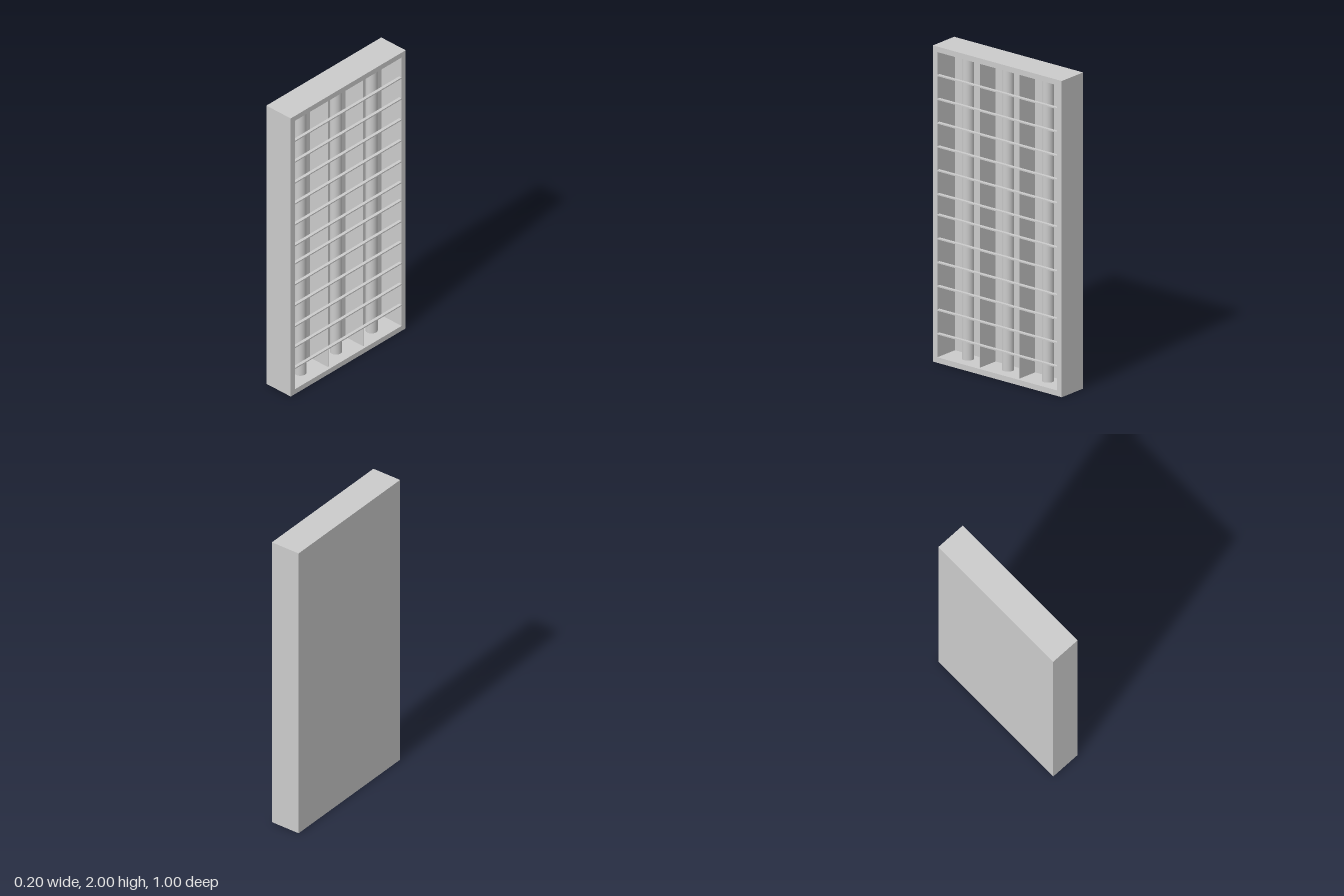
import * as THREE from 'three';

const W = 0.2, H = 2, D = 1;      // overall thickness, height, width
const WALL = 0.035;
const IN_D = D - 2 * WALL, IN_H = H - 2 * WALL;

export function createModel() {
  const group = new THREE.Group();
  const material = new THREE.MeshStandardMaterial({ color: 0xcccccc });

  const add = (name, geometry, x, y, z) => {
    const mesh = new THREE.Mesh(geometry, material);
    mesh.name = name;
    mesh.position.set(x, y, z);
    group.add(mesh);
    return mesh;
  };

  // Rectangular rim, extruded along x, open on the +x side
  const rim = new THREE.Shape([
    new THREE.Vector2(-D / 2, 0), new THREE.Vector2(D / 2, 0),
    new THREE.Vector2(D / 2, H), new THREE.Vector2(-D / 2, H),
  ]);
  rim.holes.push(new THREE.Path([
    new THREE.Vector2(-IN_D / 2, WALL), new THREE.Vector2(-IN_D / 2, H - WALL),
    new THREE.Vector2(IN_D / 2, H - WALL), new THREE.Vector2(IN_D / 2, WALL),
  ]));
  const rimGeometry = new THREE.ExtrudeGeometry(rim, { depth: W, bevelEnabled: false });
  rimGeometry.rotateY(Math.PI / 2);
  add('housingRim', rimGeometry, -W / 2, 0, 0);

  // Back panel closing the housing
  add('backPanel', new THREE.BoxGeometry(WALL, IN_H, IN_D), -W / 2 + WALL / 2, H / 2, 0);

  // Three upright lamp tubes
  for (const z of [-0.31, 0, 0.31]) {
    add('lampTube', new THREE.CylinderGeometry(0.037, 0.037, IN_H, 32), 0, H / 2, z);
  }

  // Thin upright dividers between the tubes
  const backX = -W / 2 + WALL, frontX = 0.08;
  for (const z of [-0.153, 0.153]) {
    add('divider', new THREE.BoxGeometry(frontX - backX, IN_H, 0.006), (frontX + backX) / 2, H / 2, z);
  }

  // Horizontal louvre slats across the opening, mirrored about mid height
  for (let i = 0; i < 6; i++) {
    for (const side of [-1, 1]) {
      add('slat', new THREE.BoxGeometry(0.02, 0.008, IN_D), 0.09, H / 2 + side * (0.065 + i * 0.1504), 0);
    }
  }

  return group;
}
